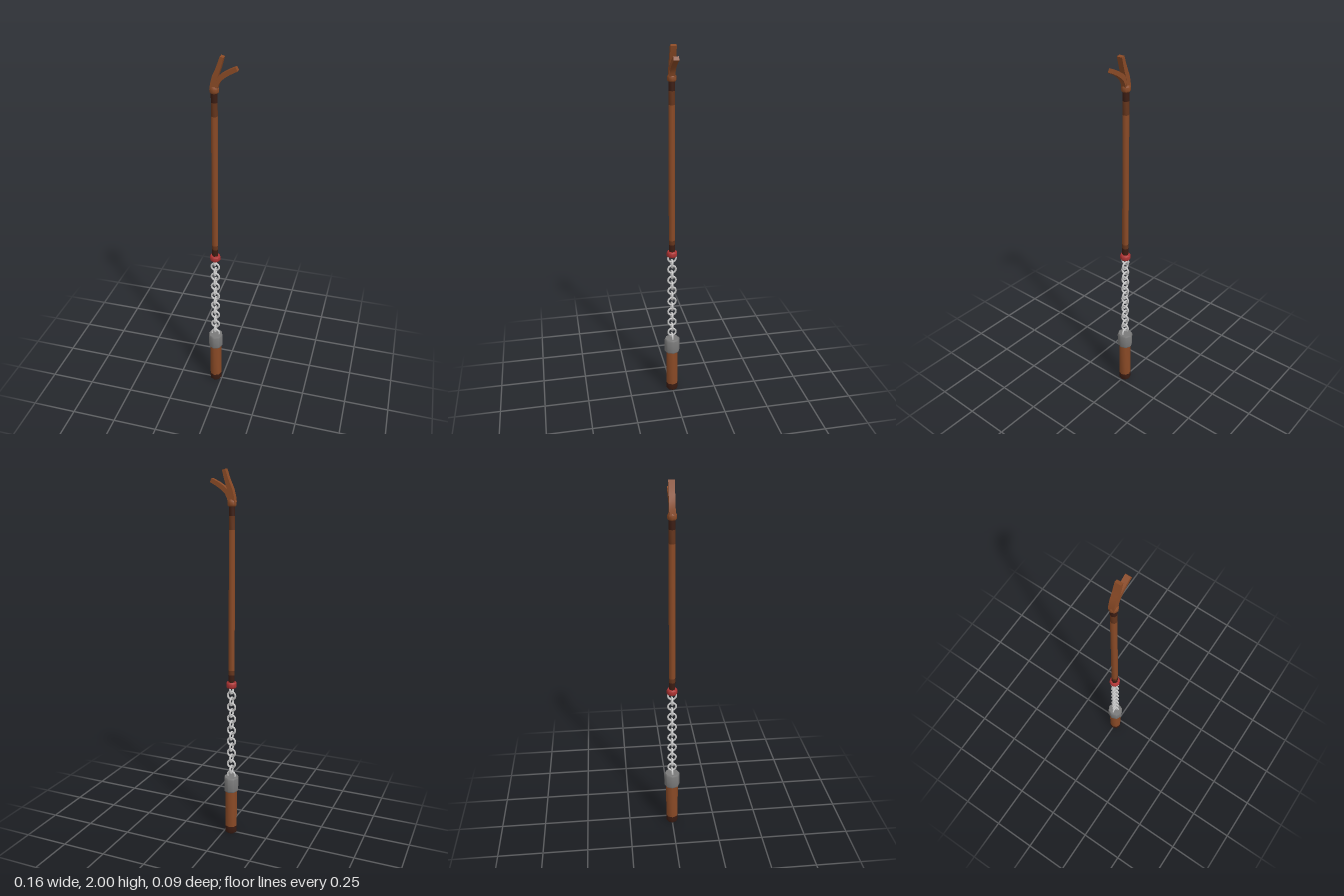
import * as THREE from 'three';
import { toCreasedNormals } from 'three/addons/utils/BufferGeometryUtils.js';

const material = (name, color) => new THREE.MeshStandardMaterial({ name, color });

export function createModel() {
  const brown = material('brown wood', 0x8a4a26);
  const umber = material('umber wood', 0x65351c);
  const dark = material('dark wood', 0x3c1d13);
  const steel = material('grey steel', 0x7a7a7a);
  const chainSteel = material('pale chain steel', 0xc6c6c6);
  const red = material('red binding', 0xb03434);

  const model = new THREE.Group();
  const axisX = -0.038;

  function add(name, geometry, mat, x = axisX) {
    const mesh = new THREE.Mesh(geometry, mat);
    mesh.name = name;
    mesh.position.x = x;
    model.add(mesh);
    return mesh;
  }

  // Eight-sided turned solid from [radius, height] pairs, bottom to top
  function turned(name, profile, mat, scaleX = 1) {
    const points = profile.map(([r, y]) => new THREE.Vector2(r, y));
    const geometry = toCreasedNormals(new THREE.LatheGeometry(points, 8), 0.82);
    geometry.scale(scaleX, 1, 1);
    return add(name, geometry, mat);
  }

  // Short grip with a dark butt
  turned('gripButt', [[0, 0], [0.03, 0], [0.034, 0.006], [0.034, 0.042]], dark);
  turned('grip', [[0.034, 0.042], [0.034, 0.27]], brown);

  // Steel collar over the grip
  turned('gripCollar', [[0, 0.258], [0.041, 0.258], [0.0445, 0.265], [0.0445, 0.335],
    [0.04, 0.343], [0, 0.343]], steel, 0.93);

  // Chain of round links, turned a quarter each time
  const linkGeometry = new THREE.TorusGeometry(0.0222, 0.0056, 8, 16);
  for (let i = 0; i < 16; i++) {
    const link = add('chainLink', linkGeometry, chainSteel);
    link.position.y = 0.35 + i * 0.0334;
    link.rotation.y = i % 2 ? Math.PI / 2 : 0;
  }

  // Red binding at the foot of the long rod
  turned('binding', [[0, 0.863], [0.025, 0.863], [0.0295, 0.87], [0.0295, 0.888],
    [0.025, 0.895], [0, 0.895]], red);

  // Long rod, darkened toward both ends
  const rodBands = [
    ['rodLowerEnd', 0.885, 0.935, dark],
    ['rodLowerFade', 0.935, 0.96, umber],
    ['rod', 0.96, 1.7, brown],
    ['rodUpperFade', 1.7, 1.77, umber],
    ['rodUpperEnd', 1.77, 1.825, dark],
  ];
  for (const [name, bottom, top, mat] of rodBands) {
    turned(name, [[0.0172, bottom], [0.0172, top]], mat);
  }

  // Leather knot at the top of the rod
  turned('knot', [[0, 1.816], [0.019, 1.816], [0.0235, 1.822], [0.0235, 1.84],
    [0.018, 1.85], [0, 1.853]], brown);

  // Flat strap: a ribbon outline along a curve, extruded in depth
  function strap(name, path, widthStart, widthEnd, depth) {
    const curve = new THREE.CatmullRomCurve3(path.map(([x, y]) => new THREE.Vector3(x, y, 0)));
    const left = [], right = [];
    for (let i = 0; i <= 5; i++) {
      const p = curve.getPoint(i / 5), t = curve.getTangent(i / 5);
      const half = THREE.MathUtils.lerp(widthStart, widthEnd, i / 5) / 2;
      left.push(new THREE.Vector2(p.x - t.y * half, p.y + t.x * half));
      right.unshift(new THREE.Vector2(p.x + t.y * half, p.y - t.x * half));
    }
    const geometry = new THREE.ExtrudeGeometry(new THREE.Shape([...left, ...right]),
      { depth, bevelEnabled: false });
    geometry.translate(0, 0, -depth / 2);
    add(name, toCreasedNormals(geometry, 0.5), brown, 0);
  }
  strap('uprightStrap', [[-0.042, 1.835], [-0.035, 1.888], [-0.015, 1.94], [0.002, 1.995]],
    0.032, 0.018, 0.031);
  strap('leaningStrap', [[-0.036, 1.835], [-0.02, 1.878], [0.016, 1.912], [0.073, 1.943]],
    0.028, 0.021, 0.028);

  return model;
}
